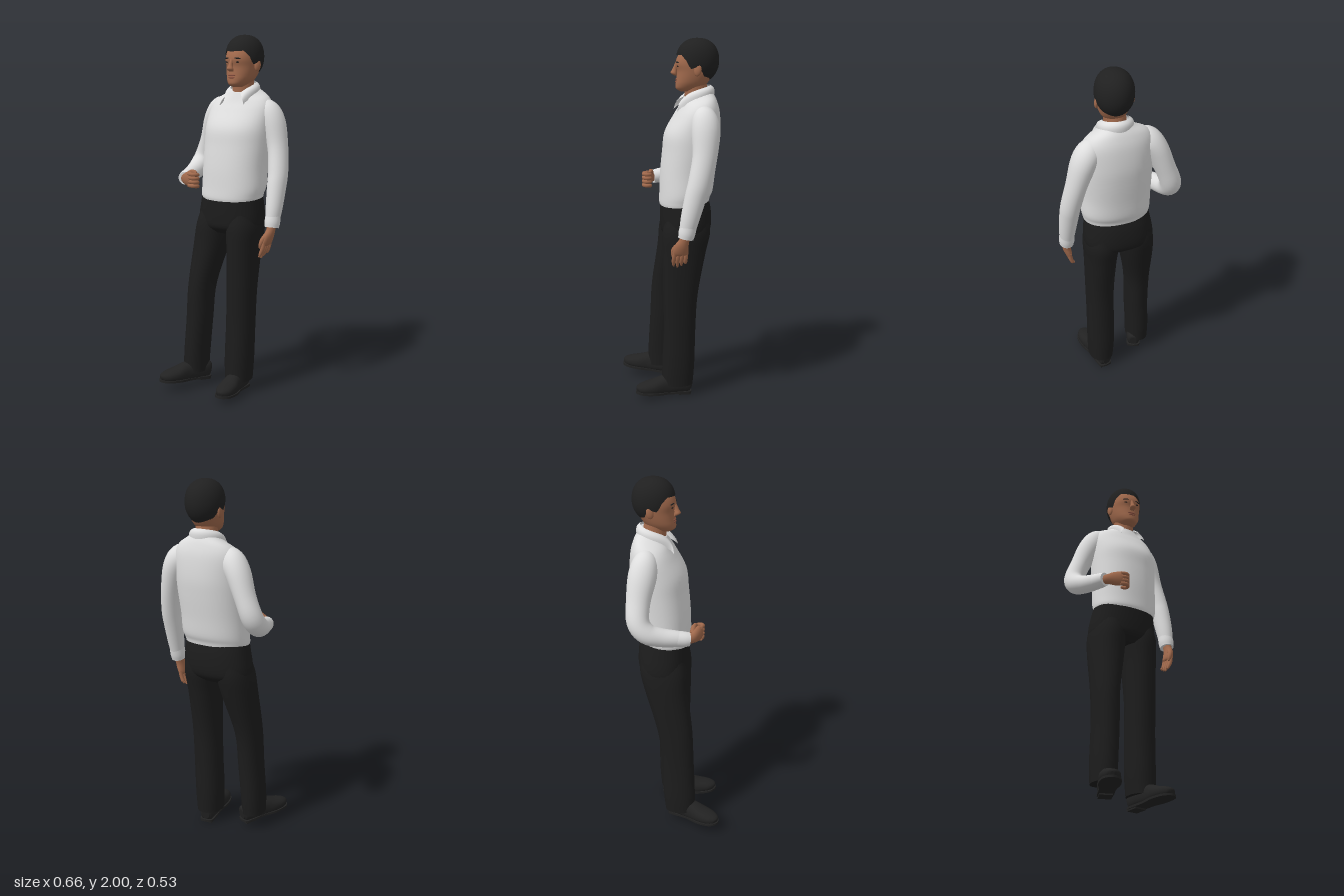
import * as THREE from 'three';
import { mergeVertices } from 'three/addons/utils/BufferGeometryUtils.js';

const mat = (name, color, side = THREE.FrontSide) => {
  const m = new THREE.MeshStandardMaterial({ color, side });
  m.name = name;
  return m;
};

// Smooth closed skin through rows of [x, y, z, radiusU, radiusV, tilt].
// Without ref the rings stay level (rows run top to bottom); with ref they follow the path.
function loft(rows, { ref = null, power = 2, seg = 28, sub = 5 } = {}) {
  const pos = [], idx = [], n = (rows.length - 1) * sub;
  const path = new THREE.CatmullRomCurve3(rows.map(r => new THREE.Vector3(r[0], r[1], r[2])), false, 'catmullrom', 0.5);
  const size = new THREE.CatmullRomCurve3(rows.map(r => new THREE.Vector3(r[3], r[4] ?? r[3], r[5] ?? 0)), false, 'catmullrom', 0.5);
  const bend = v => Math.sign(v) * Math.pow(Math.abs(v), 2 / power);
  for (let i = 0; i <= n; i++) {
    const c = path.getPoint(i / n), s = size.getPoint(i / n);
    let u = new THREE.Vector3(1, 0, 0), v = new THREE.Vector3(0, s.z, 1);
    if (ref) {
      const t = path.getTangent(i / n);
      u = ref.clone().addScaledVector(t, -ref.dot(t)).normalize();
      v = t.clone().cross(u);
    }
    for (let j = 0; j < seg; j++) {
      const a = (j / seg) * Math.PI * 2;
      const p = c.clone().addScaledVector(u, s.x * bend(Math.cos(a))).addScaledVector(v, s.y * bend(Math.sin(a)));
      pos.push(p.x, p.y, p.z);
    }
  }
  for (let i = 0; i < n; i++) for (let j = 0; j < seg; j++) {
    const k = (j + 1) % seg, a = i * seg + j, b = i * seg + k;
    idx.push(a, b, a + seg, b, b + seg, a + seg);
  }
  // end caps on their own vertices, so the rims stay sharp
  for (const end of [0, n]) {
    const base = pos.length / 3, c = path.getPoint(end / n);
    pos.push(...pos.slice(end * seg * 3, (end + 1) * seg * 3), c.x, c.y, c.z);
    for (let j = 0; j < seg; j++) {
      const a = base + j, b = base + (j + 1) % seg;
      idx.push(base + seg, end ? a : b, end ? b : a);
    }
  }
  const g = new THREE.BufferGeometry();
  g.setAttribute('position', new THREE.Float32BufferAttribute(pos, 3));
  g.setIndex(idx);
  g.computeVertexNormals();
  return g;
}

// Open sheet from fn(u, v) -> [x, y, z]
function sheet(fn, nu, nv) {
  const pos = [], idx = [];
  for (let i = 0; i <= nu; i++) for (let j = 0; j <= nv; j++) {
    pos.push(...fn(i / nu, j / nv));
    if (i < nu && j < nv) {
      const a = i * (nv + 1) + j, d = a + nv + 1;
      idx.push(a, a + 1, d, a + 1, d + 1, d);
    }
  }
  let g = new THREE.BufferGeometry();
  g.setAttribute('position', new THREE.Float32BufferAttribute(pos, 3));
  g.setIndex(idx);
  g = mergeVertices(g, 1e-5);
  g.computeVertexNormals();
  return g;
}

// Linear lookup in [[x, y], ...]
function lookup(table, x) {
  const i = Math.max(1, table.findIndex(p => p[0] >= x));
  const [a, b] = [table[i - 1], table[i]];
  return THREE.MathUtils.lerp(a[1], b[1], THREE.MathUtils.clamp((x - a[0]) / (b[0] - a[0]), 0, 1));
}

export function createModel() {
  const skin = mat('skin', 0xa0694c), lip = mat('lips', 0x8a5140), eye = mat('eyes', 0x2e2420);
  const hairMat = mat('hair', 0x202020, THREE.DoubleSide), shirt = mat('shirt', 0xdedede, THREE.DoubleSide);
  const cloth = mat('trousers', 0x1c1c1c), leather = mat('shoes', 0x222222);
  const model = new THREE.Group();
  const X = new THREE.Vector3(1, 0, 0), Y = new THREE.Vector3(0, 1, 0);
  const add = (name, geo, material, parent = model) => {
    const m = new THREE.Mesh(geo, material);
    m.name = name;
    parent.add(m);
    return m;
  };

  // Shirt body
  add('shirtBody', loft([
    [0.03, 1.715, -0.13, 0.066, 0.07, -0.35], [0.028, 1.69, -0.132, 0.1, 0.083, -0.3],
    [0.022, 1.655, -0.135, 0.16, 0.1, -0.2], [0.02, 1.6, -0.13, 0.19, 0.122, -0.08],
    [0.018, 1.5, -0.108, 0.195, 0.15, 0], [0.015, 1.4, -0.097, 0.193, 0.152, 0],
    [0.01, 1.28, -0.083, 0.189, 0.149, 0], [0.008, 1.18, -0.075, 0.189, 0.145, -0.05],
    [0.003, 1.135, -0.067, 0.184, 0.139, -0.1], [0.003, 1.115, -0.066, 0.179, 0.135, -0.1],
  ], { power: 2.2, seg: 40 }), shirt);

  // Folded collar, open at the front with two points
  add('collar', sheet((u, v) => {
    const a = (u * 2 - 1) * 2.75, front = Math.pow(Math.abs(u * 2 - 1), 5);
    const top = [0.03 + 0.068 * Math.sin(a), 1.735 + 0.018 * Math.cos(a) - 0.03 * front, -0.128 - 0.074 * Math.cos(a)];
    const side = Math.sign(u - 0.5);
    const low = [0.03 + 0.092 * Math.sin(a), 1.675 + 0.02 * Math.cos(a), -0.13 - 0.092 * Math.cos(a)];
    const tip = [0.03 + side * 0.082, 1.618, -0.014];
    const out = low.map((c, i) => c + (tip[i] - c) * front);
    const bulge = 0.01 * Math.sin(v * Math.PI);
    return [
      top[0] + (out[0] - top[0]) * v + bulge * Math.sin(a),
      top[1] + (out[1] - top[1]) * v + bulge,
      top[2] + (out[2] - top[2]) * v - bulge * Math.cos(a),
    ];
  }, 48, 6), shirt);

  // Sleeves and cuffs
  add('leftSleeve', loft([
    [0.12, 1.625, -0.145, 0.035], [0.17, 1.592, -0.148, 0.066], [0.212, 1.53, -0.15, 0.067, 0.075],
    [0.25, 1.4, -0.14, 0.055, 0.064], [0.272, 1.27, -0.112, 0.053, 0.06], [0.277, 1.19, -0.09, 0.051, 0.057],
    [0.28, 1.08, -0.062, 0.045, 0.05], [0.28, 1.0, -0.045, 0.037, 0.042],
  ], { ref: X }), shirt);
  add('leftCuff', loft([[0.28, 1.045, -0.055, 0.04, 0.044], [0.28, 1.0, -0.045, 0.042, 0.045], [0.28, 0.97, -0.039, 0.038, 0.041]], { ref: X }), shirt);
  add('rightSleeve', loft([
    [-0.08, 1.63, -0.148, 0.035], [-0.13, 1.6, -0.152, 0.066], [-0.178, 1.535, -0.163, 0.066, 0.075],
    [-0.228, 1.42, -0.178, 0.056, 0.064], [-0.266, 1.32, -0.175, 0.057, 0.06], [-0.275, 1.262, -0.13, 0.056, 0.056],
    [-0.259, 1.236, -0.06, 0.05, 0.05], [-0.236, 1.222, 0.02, 0.043, 0.044], [-0.222, 1.215, 0.065, 0.036, 0.037],
  ], { ref: X }), shirt);
  add('rightCuff', loft([[-0.236, 1.222, 0.02, 0.043], [-0.226, 1.217, 0.06, 0.041], [-0.218, 1.214, 0.087, 0.037]], { ref: X }), shirt);

  // Hanging left hand
  const small = { ref: X, seg: 10, sub: 3 };
  add('leftPalm', loft([[0.28, 1.0, -0.043, 0.024, 0.026], [0.279, 0.955, -0.03, 0.023, 0.028], [0.273, 0.92, -0.018, 0.022, 0.039],
    [0.264, 0.885, -0.013, 0.018, 0.042], [0.262, 0.872, -0.013, 0.008, 0.03]], { ref: X, seg: 18 }), skin);
  for (let k = 0; k < 4; k++) {
    const z = -0.045 + k * 0.021, tip = [0.832, 0.812, 0.803, 0.81][k];
    add('leftFinger', loft([[0.266, 0.895, z, 0.011], [0.26, 0.86, z + 0.003, 0.0115], [0.248, 0.83, z + 0.004, 0.01], [0.238, tip, z + 0.003, 0.005]], small), skin);
  }
  add('leftThumb', loft([[0.272, 0.94, -0.008, 0.014], [0.26, 0.91, 0.02, 0.013], [0.25, 0.88, 0.026, 0.011], [0.245, 0.86, 0.025, 0.005]], small), skin);

  // Curled right hand in front of the waist
  const curl = { ref: Y, seg: 10, sub: 3 };
  add('rightPalm', loft([[-0.23, 1.215, 0.055, 0.026, 0.024], [-0.208, 1.215, 0.093, 0.028, 0.024], [-0.175, 1.218, 0.115, 0.039, 0.025],
    [-0.14, 1.22, 0.133, 0.041, 0.02], [-0.13, 1.22, 0.137, 0.028, 0.009]], { ref: Y, seg: 18 }), skin);
  for (let k = 0; k < 4; k++) {
    const y = 1.186 + k * 0.021;
    add('rightFinger', loft([[-0.15, y, 0.138, 0.011], [-0.117, y, 0.147, 0.0115], [-0.1, y - 0.002, 0.132, 0.011],
      [-0.107, y - 0.004, 0.113, 0.01], [-0.128, y - 0.004, 0.106, 0.006]], curl), skin);
  }
  add('rightThumb', loft([[-0.19, 1.235, 0.1, 0.016], [-0.16, 1.256, 0.102, 0.013], [-0.132, 1.258, 0.108, 0.011], [-0.113, 1.254, 0.115, 0.005]], curl), skin);

  // Trousers
  add('trouserSeat', loft([
    [0, 1.15, -0.066, 0.172, 0.128], [-0.003, 1.08, -0.073, 0.184, 0.138], [-0.008, 1.0, -0.075, 0.194, 0.14],
    [-0.012, 0.95, -0.072, 0.188, 0.13], [-0.012, 0.915, -0.068, 0.15, 0.09],
  ], { power: 2.3, seg: 40 }), cloth);
  add('leftTrouserLeg', loft([
    [0.09, 1.03, -0.075, 0.08, 0.12], [0.09, 0.95, -0.067, 0.093, 0.131], [0.09, 0.83, -0.054, 0.085, 0.118],
    [0.088, 0.6, -0.036, 0.078, 0.096], [0.084, 0.4, -0.032, 0.077, 0.089], [0.08, 0.2, -0.026, 0.077, 0.091], [0.08, 0.07, -0.02, 0.071, 0.088],
  ], { power: 2.2 }), cloth);
  add('rightTrouserLeg', loft([
    [-0.1, 1.03, -0.075, 0.085, 0.12], [-0.112, 0.95, -0.066, 0.095, 0.128], [-0.128, 0.83, -0.046, 0.091, 0.116],
    [-0.158, 0.6, 0.003, 0.069, 0.097], [-0.166, 0.4, 0.02, 0.066, 0.09], [-0.178, 0.2, 0.03, 0.064, 0.09], [-0.18, 0.09, 0.035, 0.062, 0.084],
  ], { power: 2.2 }), cloth);

  // Shoes: flat-bottomed upper on a thin sole with a heel
  const outline = new THREE.Shape();
  outline.moveTo(0, 0);
  outline.splineThru([[0.036, 0.012], [0.042, 0.06], [0.043, 0.14], [0.056, 0.22], [0.044, 0.295], [0, 0.325],
    [-0.044, 0.295], [-0.056, 0.22], [-0.043, 0.14], [-0.042, 0.06], [-0.036, 0.012], [0, 0]].map(p => new THREE.Vector2(...p)));
  const upper = loft([[0, 0.05, 0.002, 0.022, 0.03], [0, 0.052, 0.02, 0.038, 0.05], [0, 0.055, 0.09, 0.046, 0.058], [0, 0.048, 0.16, 0.047, 0.056],
    [0, 0.038, 0.22, 0.054, 0.043], [0, 0.032, 0.275, 0.048, 0.032], [0, 0.028, 0.308, 0.03, 0.022], [0, 0.024, 0.32, 0.01, 0.01]], { ref: X, power: 2.3 });
  const up = upper.attributes.position;
  for (let i = 0; i < up.count; i++) up.setY(i, Math.max(0.012, up.getY(i)));
  upper.computeVertexNormals();
  const sole = new THREE.ExtrudeGeometry(outline, { depth: 0.012, bevelEnabled: false, curveSegments: 40 });
  sole.rotateX(Math.PI / 2).translate(0, 0.016, 0);
  for (const [name, x, y, z, turn] of [['leftShoe', 0.07, 0.005, -0.1, 0.14], ['rightShoe', -0.135, 0.032, -0.03, -0.43]]) {
    const shoe = new THREE.Group();
    shoe.name = name;
    add('shoeUpper', upper, leather, shoe);
    add('shoeSole', sole, leather, shoe);
    add('shoeHeel', new THREE.BoxGeometry(0.07, 0.016, 0.07), leather, shoe).position.set(0, 0.004, 0.045);
    shoe.rotation.set(-0.07, turn, 0, 'YXZ');
    shoe.position.set(x, y, z);
    model.add(shoe);
  }

  // Neck and head
  add('neck', loft([[0.036, 1.79, -0.115, 0.058, 0.06], [0.033, 1.73, -0.125, 0.058, 0.062], [0.03, 1.64, -0.132, 0.064, 0.068]]), skin);
  const head = new THREE.Group();
  head.name = 'head';
  head.position.set(0.038, 0, -0.131);
  head.rotation.y = -0.1;
  model.add(head);
  add('face', loft([
    [0, 1.985, 0, 0.03, 0.03], [0, 1.95, -0.01, 0.072, 0.08], [0, 1.912, 0, 0.086, 0.102], [0, 1.87, 0.008, 0.088, 0.109],
    [0, 1.83, 0.008, 0.085, 0.102], [0, 1.79, 0.021, 0.077, 0.092], [0, 1.76, 0.034, 0.066, 0.083],
    [0, 1.735, 0.047, 0.048, 0.068], [0, 1.72, 0.05, 0.028, 0.04],
  ], { power: 2.2, seg: 36 }), skin, head);
  add('nose', loft([[0, 1.872, 0.11, 0.008, 0.008], [0, 1.838, 0.121, 0.011, 0.013], [0, 1.817, 0.126, 0.019, 0.017], [0, 1.803, 0.114, 0.013, 0.008]], { seg: 16 }), skin, head);
  const ball = new THREE.SphereGeometry(1, 18, 12);
  const blob = (name, material, p, s) => {
    const m = add(name, ball, material, head);
    m.position.set(...p);
    m.scale.set(...s);
    return m;
  };
  blob('upperLip', lip, [0, 1.783, 0.109], [0.026, 0.006, 0.009]);
  blob('lowerLip', lip, [0, 1.771, 0.11], [0.022, 0.007, 0.009]);
  for (const s of [-1, 1]) {
    blob('eye', eye, [s * 0.033, 1.854, 0.106], [0.014, 0.005, 0.005]);
    blob('eyebrow', hairMat, [s * 0.035, 1.874, 0.107], [0.02, 0.004, 0.006]).rotation.set(0, s * 0.25, -s * 0.08);
    blob('ear', skin, [s * 0.091, 1.836, 0.002], [0.011, 0.032, 0.02]).rotation.set(-0.15, -s * 0.3, 0);
  }

  // Short hair cap with a hairline that drops at the sideburns and nape
  const hairline = [[0, 1.91], [0.7, 1.914], [1, 1.885], [1.2, 1.84], [1.45, 1.85], [1.65, 1.845], [1.95, 1.8], [2.4, 1.785], [3.2, 1.78]];
  add('hair', sheet((u, v) => {
    const a = (u * 2 - 1) * Math.PI;
    const d = Math.cos(v * Math.acos((lookup(hairline, Math.abs(a)) - 1.88) / 0.12));
    const e = d > 0 ? 2.25 : 2, r = Math.pow(Math.max(0, 1 - Math.pow(Math.abs(d), e)), 1 / e);
    return [0.1 * r * Math.sin(a), 1.88 + 0.12 * d, 0.115 * r * Math.cos(a)];
  }, 56, 18), hairMat, head);

  return model;
}
